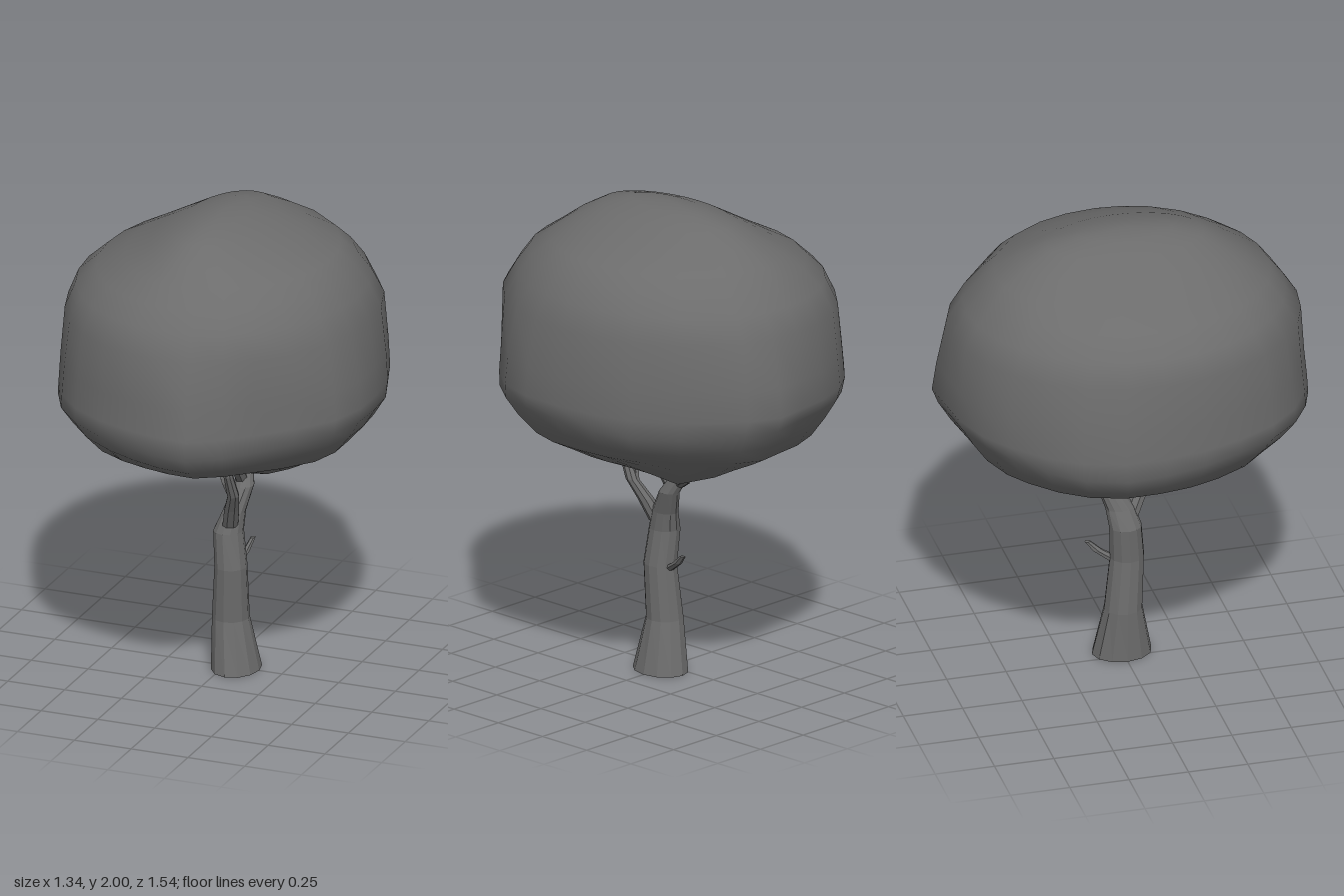
import * as THREE from 'three';

const V = (x, y, z) => new THREE.Vector3(x, y, z);

// Skin a stack of closed rings (bottom to top) and close both ends with a centre point
function loft(rings, bottom, top) {
  const n = rings[0].length, pos = [], idx = [];
  rings.forEach(r => r.forEach(p => pos.push(p.x, p.y, p.z)));
  for (let j = 0; j < rings.length - 1; j++) {
    for (let i = 0; i < n; i++) {
      const a = j * n + i, b = j * n + (i + 1) % n;
      idx.push(a, b, a + n, b, b + n, a + n);
    }
  }
  const lo = rings.length * n, hi = lo + 1, last = (rings.length - 1) * n;
  pos.push(bottom.x, bottom.y, bottom.z, top.x, top.y, top.z);
  for (let i = 0; i < n; i++) {
    const k = (i + 1) % n;
    idx.push(lo, k, i, hi, last + i, last + k);
  }
  const g = new THREE.BufferGeometry();
  g.setAttribute('position', new THREE.Float32BufferAttribute(pos, 3));
  g.setIndex(idx);
  g.computeVertexNormals();
  return g;
}

// Tapered limb: stations are [x, y, z, radiusX, radiusZ], rings stay level
function limb(name, stations, sides, material) {
  const rings = stations.map(([x, y, z, rx, rz = rx]) => Array.from({ length: sides }, (_, i) => {
    const t = -i / sides * Math.PI * 2;
    return V(x + rx * Math.cos(t), y, z + rz * Math.sin(t));
  }));
  const ends = [stations[0], stations[stations.length - 1]].map(s => V(s[0], s[1], s[2]));
  const mesh = new THREE.Mesh(loft(rings, ends[0], ends[1]), material);
  mesh.name = name;
  return mesh;
}

// Plan outline of the crown at its widest, [x, z], running from +x towards -z
const outline = [
  [0.665, 0], [0.64, -0.18], [0.58, -0.35], [0.46, -0.52], [0.27, -0.71], [0.14, -0.775], [0, -0.757],
  [-0.14, -0.74], [-0.3, -0.68], [-0.41, -0.6], [-0.53, -0.48], [-0.62, -0.34], [-0.67, -0.17],
  [-0.67, 0], [-0.65, 0.17], [-0.6, 0.33], [-0.52, 0.49], [-0.41, 0.61], [-0.27, 0.69], [-0.14, 0.735],
  [0, 0.765], [0.14, 0.77], [0.27, 0.69], [0.37, 0.6], [0.5, 0.48], [0.62, 0.33], [0.665, 0.17],
];

// Crown levels: [y, reach to -x, +x, -z, +z]
const levels = [
  [1.01, 0.08, 0.08, 0.08, 0.08],
  [0.97, 0.17, 0.17, 0.2, 0.17],
  [0.945, 0.26, 0.27, 0.33, 0.27],
  [0.97, 0.35, 0.37, 0.44, 0.37],
  [1.02, 0.46, 0.46, 0.56, 0.48],
  [1.06, 0.56, 0.54, 0.64, 0.61],
  [1.13, 0.62, 0.61, 0.7, 0.7],
  [1.21, 0.67, 0.66, 0.75, 0.77],
  [1.28, 0.667, 0.667, 0.775, 0.765],
  [1.4, 0.66, 0.66, 0.76, 0.75],
  [1.6, 0.64, 0.635, 0.73, 0.725],
  [1.7, 0.6, 0.585, 0.67, 0.66],
  [1.78, 0.51, 0.53, 0.6, 0.6],
  [1.84, 0.39, 0.46, 0.54, 0.51],
  [1.9, 0.28, 0.32, 0.44, 0.43],
  [1.955, 0.18, 0.19, 0.33, 0.33],
  [1.985, 0.09, 0.09, 0.19, 0.2],
];

// Bumps under the crown, [x, z, depth, width]: hanging lobes, then hollows around and before the trunk
const lobes = [
  [0.2, -0.29, 0.07, 0.13], [-0.2, -0.2, 0.055, 0.12], [0.2, 0.2, 0.02, 0.1], [-0.2, 0.2, 0.02, 0.1],
  [0.04, 0, -0.05, 0.13], [0.04, 0.28, -0.09, 0.13],
];

function crownGeometry() {
  const rings = levels.map(([y, l, r, b, f]) => outline.map(([x, z]) => {
    // the plan rounds off to an oval towards the dome
    const round = THREE.MathUtils.smoothstep(y, 1.3, 1.7);
    const ux = x / (x < 0 ? 0.67 : 0.665), uz = z / (z < 0 ? 0.775 : 0.77);
    const s = THREE.MathUtils.lerp(1, 1 / Math.hypot(ux, uz), round);
    const px = ux * s * (x < 0 ? l : r);
    const pz = uz * s * (z < 0 ? b : f);
    let py = y;
    if (y < 1.05) {
      for (const [lx, lz, d, w] of lobes) py -= d * Math.exp(-((px - lx) ** 2 + (pz - lz) ** 2) / (w * w));
    } else if (y < 1.3) {
      // the shoulder above the underside rolls gently up and down
      py += 0.02 * Math.sin(3 * Math.atan2(z, x) + 0.6) * Math.sin((y - 1.05) / 0.25 * Math.PI);
    }
    return V(px, py, pz);
  }));
  return loft(rings, V(0, 1.07, 0), V(0, 2, 0));
}

export function createModel() {
  const tree = new THREE.Group();
  tree.name = 'tree';
  const leaf = new THREE.MeshStandardMaterial({ color: 0x6c6c6c });
  const bark = new THREE.MeshStandardMaterial({ color: 0x6c6c6c, flatShading: true });

  const crown = new THREE.Mesh(crownGeometry(), leaf);
  crown.name = 'crown';
  tree.add(crown);

  // The trunk runs on into the back limb; the others grow out of it
  tree.add(
    limb('trunk', [
      [0.05, 0, 0, 0.1, 0.125], [0.025, 0.22, 0, 0.077, 0.08], [0.033, 0.45, 0.018, 0.067, 0.072],
      [0.018, 0.6, 0.007, 0.062, 0.068], [0.035, 0.68, -0.012, 0.047, 0.06],
      [0.06, 0.78, -0.06, 0.04, 0.045], [0.035, 0.89, -0.125, 0.032, 0.037],
      [0, 1.02, -0.18, 0.024], [-0.03, 1.12, -0.22, 0.012],
    ], 12, bark),
    limb('frontBranch', [
      [0.035, 0.63, 0.03, 0.034, 0.038], [0.06, 0.72, 0.075, 0.032, 0.036],
      [0.088, 0.8, 0.125, 0.025, 0.028], [0.085, 0.9, 0.17, 0.02, 0.024], [0.07, 1.07, 0.21, 0.012],
    ], 8, bark),
    limb('frontFork', [
      [0.085, 0.77, 0.11, 0.018, 0.02], [0.06, 0.86, 0.14, 0.018], [0.02, 0.95, 0.125, 0.015], [0, 1.08, 0.11, 0.008],
    ], 6, bark),
    limb('middleBranch', [
      [0.05, 0.79, -0.07, 0.026, 0.036], [0.05, 0.86, -0.015, 0.025, 0.032],
      [0.03, 0.94, 0.025, 0.021, 0.024], [0.01, 1.1, 0.05, 0.012],
    ], 6, bark),
    limb('backTwig', [
      [0.05, 0.81, -0.1, 0.018, 0.03], [0.085, 0.85, -0.17, 0.015, 0.026],
      [0.15, 0.93, -0.24, 0.008],
    ], 6, bark),
    limb('lowTwig', [
      [0.04, 0.435, -0.03, 0.018, 0.03], [0.055, 0.48, -0.1, 0.014, 0.022], [0.065, 0.52, -0.14, 0.01, 0.013],
    ], 6, bark),
  );
  return tree;
}
